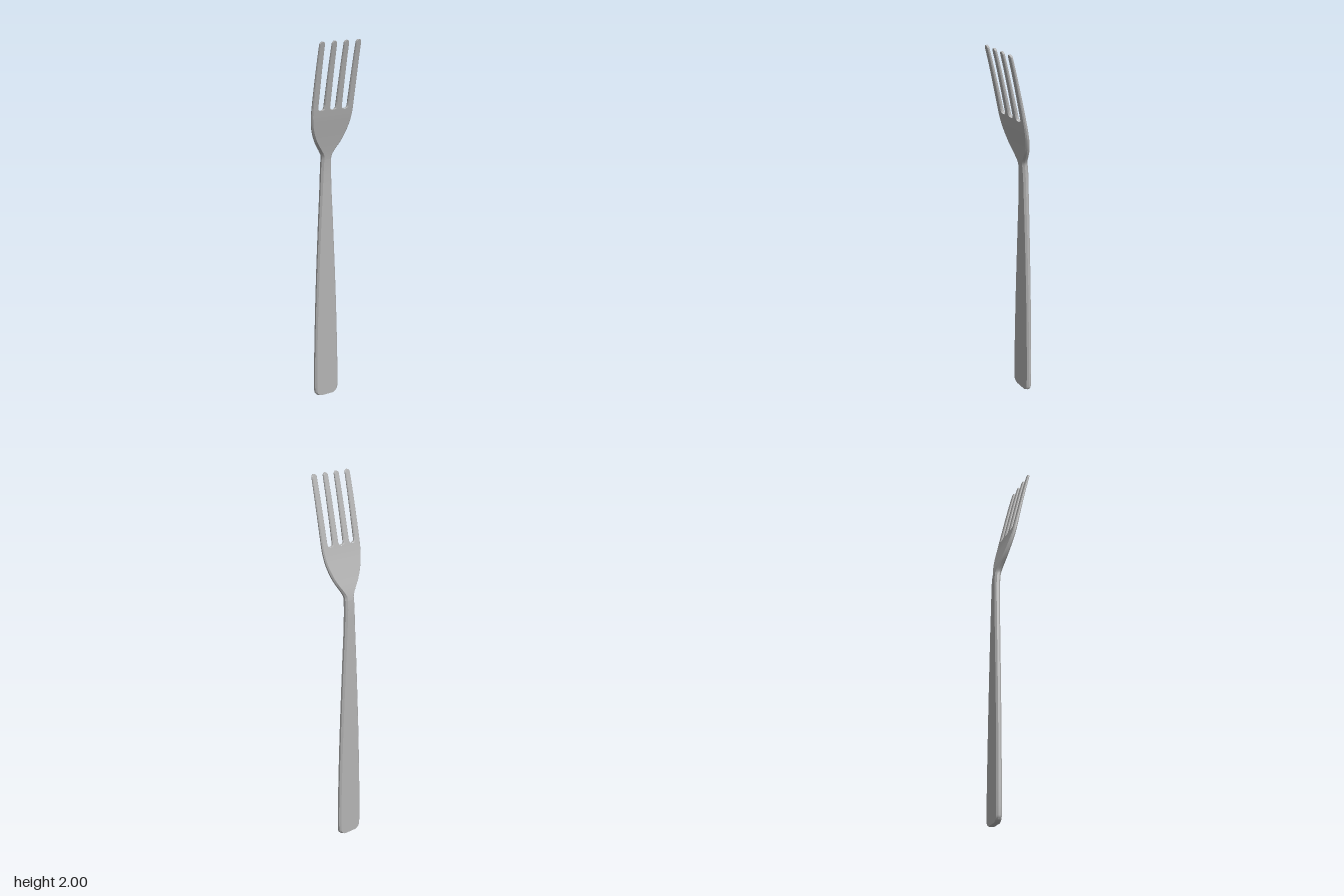
import * as THREE from 'three';
import { toCreasedNormals } from 'three/addons/utils/BufferGeometryUtils.js';

// Returns a lookup value(y) along a smooth curve through [y, value] points
function profile(points) {
  const samples = new THREE.SplineCurve(points.map(([y, v]) => new THREE.Vector2(v, y))).getPoints(400);
  return (y) => {
    let i = 1;
    while (i < samples.length - 1 && samples[i].y < y) i++;
    const a = samples[i - 1], b = samples[i];
    const t = THREE.MathUtils.clamp((y - a.y) / (b.y - a.y || 1), 0, 1);
    return a.x + (b.x - a.x) * t;
  };
}

const halfWidth = profile([[0, 0.072], [0.2, 0.072], [0.6, 0.061], [1, 0.044], [1.2, 0.034], [1.36, 0.029],
  [1.39, 0.03], [1.42, 0.046], [1.46, 0.072], [1.5, 0.092], [1.55, 0.109], [1.6, 0.118], [1.65, 0.121], [1.8, 0.121], [2, 0.119]]);
const spine = profile([[0, -0.073], [0.5, -0.073], [1, -0.073], [1.25, -0.072], [1.34, -0.07], [1.4, -0.062],
  [1.5, -0.037], [1.6, -0.011], [1.7, 0.011], [1.8, 0.033], [1.9, 0.056], [2, 0.081]]);
const thickness = profile([[0, 0.03], [0.6, 0.03], [1.2, 0.032], [1.38, 0.034], [1.5, 0.026], [1.62, 0.02], [1.8, 0.015], [2, 0.012]]);

// Lofts a bevelled bar through rows of [y, left x, right x]
function loft(rows, capBottom, capTop) {
  const pos = [], index = [];
  rows.forEach(([y, l, r]) => {
    const t = thickness(y), f = spine(y) + t / 2, k = spine(y) - t / 2;
    const b = Math.min(t * 0.3, (r - l) * 0.35);
    const ring = [[l + b, f], [r - b, f], [r, f - b], [r, k + b], [r - b, k], [l + b, k], [l, k + b], [l, f - b]];
    ring.forEach(([x, z]) => pos.push(x, y, z));
  });
  for (let j = 0; j < rows.length - 1; j++) {
    for (let i = 0; i < 8; i++) {
      const a = j * 8 + i, b = j * 8 + (i + 1) % 8;
      index.push(a, b, b + 8, a, b + 8, a + 8);
    }
  }
  const top = (rows.length - 1) * 8;
  for (let i = 1; i < 7; i++) {
    if (capBottom) index.push(0, i + 1, i);
    if (capTop) index.push(top, top + i, top + i + 1);
  }
  const g = new THREE.BufferGeometry();
  g.setAttribute('position', new THREE.Float32BufferAttribute(pos, 3));
  g.setIndex(index);
  return toCreasedNormals(g, 0.6);
}

const range = (a, b, n) => Array.from({ length: n + 1 }, (_, i) => a + (b - a) * i / n);
const arcSteps = (n) => range(0, Math.PI / 2, n).map((a) => 1 - Math.cos(a));

export function createModel() {
  const group = new THREE.Group();
  const steel = new THREE.MeshStandardMaterial({ color: 0xb4b4b4 });
  steel.name = 'steel grey';
  const add = (name, geometry) => {
    const mesh = new THREE.Mesh(geometry, steel);
    mesh.name = name;
    group.add(mesh);
  };
  const slotBottom = 1.643, neck = 1.37;

  // Handle with rounded lower corners
  const corner = 0.032;
  const handleYs = [...arcSteps(8).map((s) => s * corner), ...range(corner, neck, 28).slice(1)];
  add('handle', loft(handleYs.map((y) => {
    const d = Math.max(0, corner - y);
    const w = halfWidth(y) - corner + Math.sqrt(corner * corner - d * d);
    return [y, -w, w];
  }), true, false));

  // Flared head between neck and slots
  add('head', loft(range(neck, slotBottom, 24).map((y) => [y, -halfWidth(y), halfWidth(y)]), false, false));

  // Half width of a slot, rounded at its bottom and widening upward
  const slotRadius = 0.016;
  const slot = (y) => {
    const d = Math.max(0, slotBottom + slotRadius - y);
    return Math.sqrt(Math.max(0, slotRadius ** 2 - d * d)) + 0.004 * (y - slotBottom) / (2 - slotBottom);
  };

  // Four tines with rounded tips
  const slotCentres = [-0.069, 0, 0.069], tip = 0.013;
  const tineYs = [...arcSteps(7).map((s) => slotBottom + s * slotRadius),
    ...range(slotBottom + slotRadius, 2 - tip, 16).slice(1),
    ...range(0, Math.PI / 2, 6).slice(1).map((a) => 2 - tip + tip * Math.sin(a))];
  for (let i = 0; i < 4; i++) {
    add('tine' + (i + 1), loft(tineYs.map((y) => {
      const l = i === 0 ? -halfWidth(y) : slotCentres[i - 1] + slot(y);
      const r = i === 3 ? halfWidth(y) : slotCentres[i] - slot(y);
      const d = Math.max(0, y - (2 - tip)) / tip;
      const w = (r - l) / 2 * Math.max(0.3, Math.sqrt(Math.max(0, 1 - d * d)));
      return [y, (l + r) / 2 - w, (l + r) / 2 + w];
    }), false, true));
  }
  return group;
}
